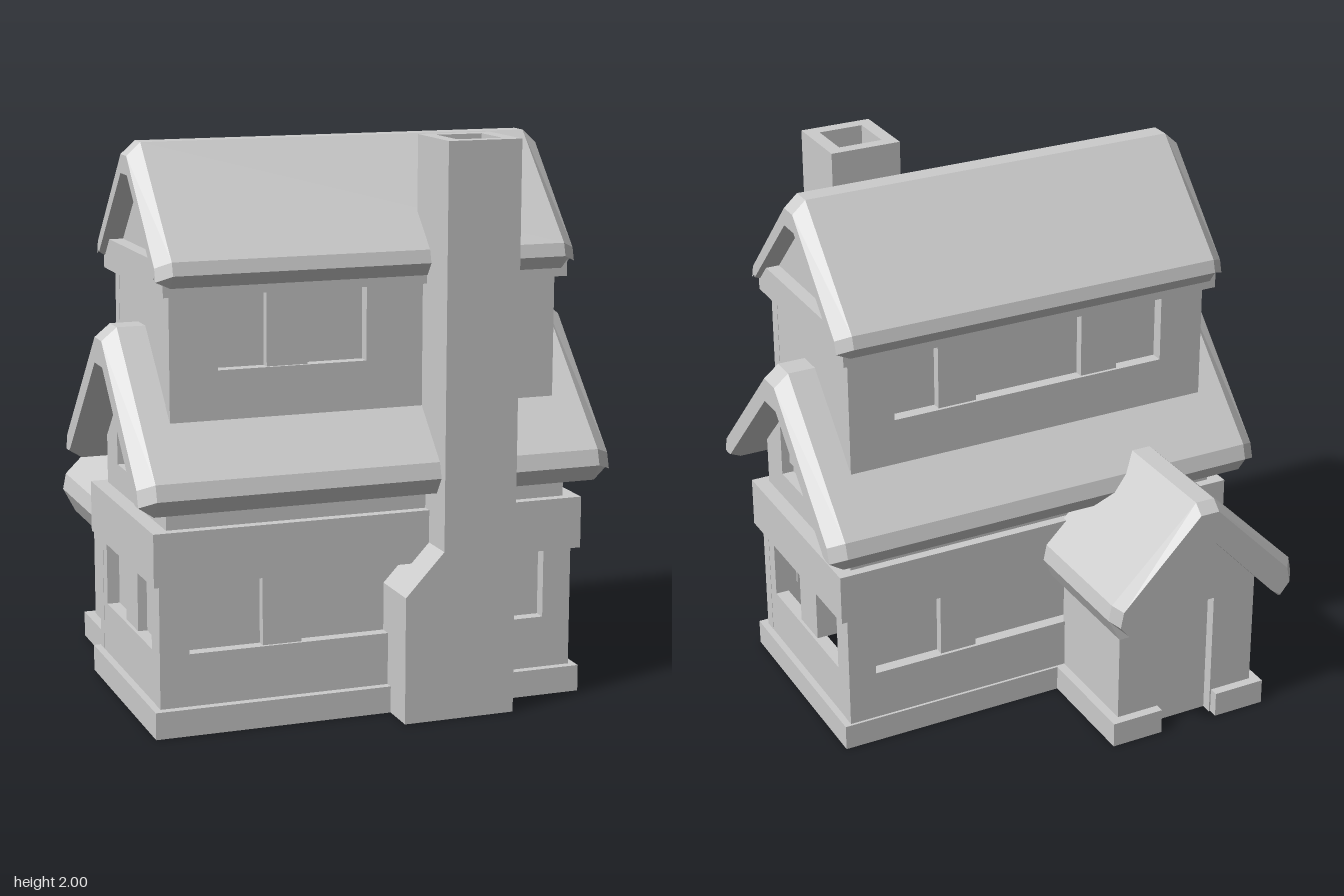
import * as THREE from 'three';

const ZC = 0.187; // depth position of both main ridges
const mat = new THREE.MeshStandardMaterial({ color: 0xcccccc, flatShading: true });

function add(parent, name, geo) {
  const m = new THREE.Mesh(geo, mat);
  m.name = name;
  parent.add(m);
  return m;
}

// Box given by its min and max on each axis
function box(parent, name, x0, x1, y0, y1, z0, z1) {
  const g = new THREE.BoxGeometry(x1 - x0, y1 - y0, z1 - z0);
  g.translate((x0 + x1) / 2, (y0 + y1) / 2, (z0 + z1) / 2);
  return add(parent, name, g);
}

const toPoints = list => list.map(p => new THREE.Vector2(p[0], p[1]));
const rect = (x0, x1, y0, y1) => [[x0, y0], [x1, y0], [x1, y1], [x0, y1]];

// Extrudes an outline, with optional hole, from z = -depth to z = 0
function slab(outline, hole, depth) {
  const s = new THREE.Shape(toPoints(outline));
  if (hole) s.holes.push(new THREE.Path(toPoints(hole)));
  return new THREE.ExtrudeGeometry(s, { depth, bevelEnabled: false }).translate(0, 0, -depth);
}

// Wall with a recessed window: opening, upright bars and an optional back panel
function facade(parent, name, o) {
  const g = new THREE.Group();
  g.name = name;
  add(g, name + 'Wall', slab(o.outline, o.hole, 0.05));
  if (o.hole) {
    const us = o.hole.map(p => p[0]), vs = o.hole.map(p => p[1]);
    const v0 = Math.min(...vs), v1 = Math.max(...vs);
    if (o.pane !== false) box(g, 'windowPanel', Math.min(...us), Math.max(...us), v0, v1, -0.06, -0.045);
    for (const [a, b] of o.bars) box(g, 'windowBar', a, b, v0, v1, -0.05, -0.012);
  }
  g.position.set(o.x || 0, 0, o.z);
  g.rotation.y = o.turn || 0;
  parent.add(g);
}

// Gabled roof shell lofted along z; sections are [z, inset] pairs, the inset bevels the ends
function roof(parent, name, half, sections) {
  const n = half.length * 2;
  const ring = inset => {
    const pts = half.map(([d, y], i) => {
      if (i === 0) return [d * 0.9, y - inset];
      if (i < 3) return [d - inset * 0.8, y - inset * 0.5];
      if (i === 3) return [d - inset * 0.5, y + inset * 0.8];
      return [d, y];
    });
    return [...pts, ...pts.slice().reverse().map(([d, y]) => [-d, y])];
  };
  const pos = [], idx = [];
  for (const [z, inset] of sections) for (const [d, y] of ring(inset)) pos.push(d, y, z);
  for (let s = 0; s < sections.length - 1; s++) {
    for (let i = 0; i < n; i++) {
      const a = s * n + i, b = s * n + (i + 1) % n;
      idx.push(a, a + n, b, b, a + n, b + n);
    }
  }
  // End caps
  const last = (sections.length - 1) * n;
  const cap = toPoints(ring(sections[0][1]));
  for (const [a, b, c] of THREE.ShapeUtils.triangulateShape(cap, [])) {
    const ccw = (cap[b].x - cap[a].x) * (cap[c].y - cap[a].y) - (cap[b].y - cap[a].y) * (cap[c].x - cap[a].x) > 0;
    const [p, q] = ccw ? [b, c] : [c, b];
    idx.push(a, q, p, last + a, last + p, last + q);
  }
  const g = new THREE.BufferGeometry();
  g.setAttribute('position', new THREE.Float32BufferAttribute(pos, 3));
  g.setIndex(idx);
  const flat = g.toNonIndexed();
  flat.computeVertexNormals();
  return add(parent, name, flat);
}

export function createModel() {
  const house = new THREE.Group();
  house.name = 'house';
  const Q = Math.PI / 2;

  // Plinth frame, open underneath
  const plinth = add(house, 'plinth', slab(rect(-0.785, 0.785, -0.6, 0.22), rect(-0.71, 0.71, -0.52, 0.16), 0.095));
  plinth.rotation.x = -Q;
  plinth.position.y = 0.095;

  // Ground floor walls
  const longWall = {
    outline: rect(-0.76, 0.76, 0.05, 0.55), hole: rect(-0.655, 0.655, 0.28, 0.53),
    bars: [[-0.39, -0.25], [0.25, 0.39]]
  };
  facade(house, 'groundFront', { ...longWall, z: 0.57 });
  facade(house, 'groundBack', { ...longWall, z: -0.21, turn: Math.PI });
  for (const s of [1, -1]) {
    facade(house, 'groundSide', {
      outline: rect(-0.388, 0.388, 0.05, 0.55), hole: rect(-0.29, 0.29, 0.28, 0.53),
      bars: [[-0.075, 0.075]], pane: s < 0, x: s * 0.759, z: 0.18, turn: s * Q
    });
  }

  // Band between the floors
  box(house, 'floorBand', -0.785, 0.785, 0.53, 0.715, -0.22, 0.597);

  // Middle storey: long sides and gable ends with windows
  box(house, 'middleStorey', -0.68, 0.68, 0.7, 0.9, -0.185, 0.56);
  for (const s of [1, -1]) {
    facade(house, 'middleGable', {
      outline: [[-0.373, 0.7], [0.373, 0.7], [0.373, 0.9], [0.05, 1.23], [-0.05, 1.23], [-0.373, 0.9]],
      hole: [[-0.235, 0.81], [0.235, 0.81], [0.235, 1.0], [0.18, 1.06], [-0.18, 1.06], [-0.235, 1.0]],
      bars: [[-0.075, 0.075]], x: s * 0.73, z: ZC, turn: s * Q
    });
  }

  // Upper storey
  facade(house, 'upperFront', {
    outline: rect(-0.7, 0.7, 0.85, 1.52), hole: rect(-0.53, 0, 1.24, 1.5),
    bars: [[-0.355, -0.21]], z: 0.52
  });
  facade(house, 'upperBack', {
    outline: rect(-0.7, 0.7, 0.85, 1.52), hole: rect(-0.53, 0.53, 1.24, 1.5),
    bars: [[-0.355, -0.21], [0.21, 0.355]], z: -0.147, turn: Math.PI
  });
  for (const s of [1, -1]) {
    facade(house, 'upperSide', { outline: rect(-0.333, 0.333, 0.85, 1.52), x: s * 0.699, z: ZC, turn: s * Q });
  }
  box(house, 'upperLedge', -0.73, 0.73, 1.5, 1.61, -0.185, 0.558);
  const gable = add(house, 'upperGable',
    slab([[-0.31, 1.6], [0.31, 1.6], [0.04, 1.88], [-0.04, 1.88]], null, 1.36));
  gable.rotation.y = Q;
  gable.position.set(0.68, 0, ZC);

  // Roofs
  const ends = (full, bevel) => [[-full, 0.045], [-bevel, 0], [bevel, 0], [full, 0.045]];
  const lower = roof(house, 'lowerRoof',
    [[0.05, 1.355], [0.5, 0.905], [0.517, 0.85], [0.475, 0.79], [0.43, 0.832], [0.05, 1.22]], ends(0.855, 0.8));
  const upper = roof(house, 'upperRoof',
    [[0.04, 1.98], [0.395, 1.62], [0.408, 1.575], [0.375, 1.53], [0.345, 1.56], [0.04, 1.87]], ends(0.755, 0.705));
  for (const r of [lower, upper]) {
    r.rotation.y = Q;
    r.position.z = ZC;
  }

  // Porch with door, split plinth and its own roof
  const porch = new THREE.Group();
  porch.name = 'porch';
  porch.position.x = -0.395;
  house.add(porch);
  const body = add(porch, 'porchWalls', slab([
    [-0.28, 0], [-0.11, 0], [-0.11, 0.49], [0.11, 0.49], [0.11, 0], [0.28, 0],
    [0.28, 0.54], [0.03, 0.81], [-0.03, 0.81], [-0.28, 0.54]], null, 0.415));
  body.position.z = -0.2;
  box(porch, 'door', -0.11, 0.11, 0, 0.49, -0.575, -0.55);
  for (const s of [1, -1]) {
    const p = box(porch, 'porchPlinth', -0.1, 0.1, 0, 0.095, -0.65, -0.2);
    p.position.x = s * 0.215;
  }
  roof(porch, 'porchRoof',
    [[0.04, 0.96], [0.365, 0.635], [0.377, 0.575], [0.33, 0.485], [0.275, 0.54], [0.03, 0.8]],
    [[-0.738, 0.035], [-0.7, 0], [-0.2, 0]]);

  // Chimney with a flared foot and a hollow top
  const stack = add(house, 'chimney', slab([
    [0.065, 0], [0.47, 0], [0.47, 1.85], [0.205, 1.85], [0.205, 0.6], [0.065, 0.45]], null, 0.27));
  stack.position.z = 0.735;
  const rim = add(house, 'chimneyTop',
    slab(rect(0.205, 0.47, -0.735, -0.465), rect(0.255, 0.42, -0.685, -0.512), 0.15));
  rim.rotation.x = -Q;
  rim.position.y = 2;

  return house;
}
